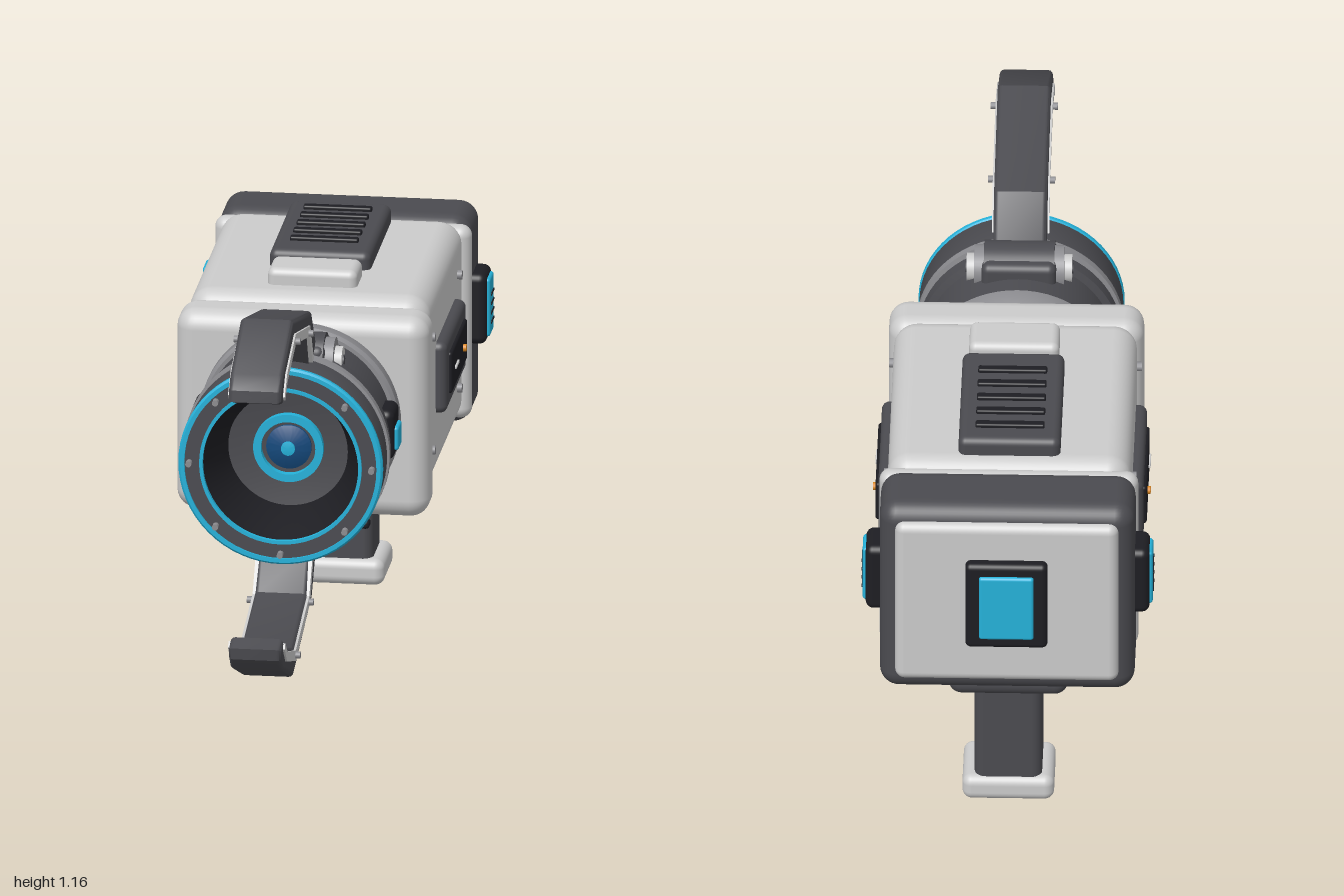
import * as THREE from 'three';
import { toCreasedNormals } from 'three/addons/utils/BufferGeometryUtils.js';
import { RoundedBoxGeometry } from 'three/addons/geometries/RoundedBoxGeometry.js';

const mat = (color) => new THREE.MeshStandardMaterial({ color });
const LIGHT = mat(0xcccccc), GREY = mat(0x8c8c90), DARK = mat(0x4b4b50), BLACK = mat(0x1e1e23);
const CYAN = mat(0x25b2da), BLUE = mat(0x14497c), ORANGE = mat(0xe08a20);
const AXIS = 0.68; // height of the lens axis

function add(parent, name, geometry, material) {
  const mesh = new THREE.Mesh(geometry, material);
  mesh.name = name;
  parent.add(mesh);
  return mesh;
}

// Rounded box given by its extents on each axis
function block(parent, name, material, [x0, x1], [y0, y1], [z0, z1], r = 0.02) {
  const s = [x1 - x0, y1 - y0, z1 - z0];
  const mesh = add(parent, name, new RoundedBoxGeometry(...s, 4, Math.min(r, Math.min(...s) * 0.49)), material);
  mesh.position.set((x0 + x1) / 2, (y0 + y1) / 2, (z0 + z1) / 2);
  return mesh;
}

// Solid of revolution round the lens axis; points are [radius, z]
function turned(parent, name, material, points) {
  const g = new THREE.LatheGeometry(points.map(([r, z]) => new THREE.Vector2(r, z)), 64);
  g.rotateX(Math.PI / 2);
  const mesh = add(parent, name, toCreasedNormals(g, 0.5), material);
  mesh.position.y = AXIS;
  return mesh;
}

// Cylinder lying along x or z
function pin(parent, name, material, r, length, [x, y, z], axis = 'x') {
  const g = new THREE.CylinderGeometry(r, r, length, r > 0.03 ? 40 : 12);
  if (axis === 'x') g.rotateZ(Math.PI / 2);
  else g.rotateX(Math.PI / 2);
  const mesh = add(parent, name, g, material);
  mesh.position.set(x, y, z);
  return mesh;
}

// Side profile in (z, y) extruded symmetrically across x
function sideProfile(parent, name, material, points, halfWidth, bevel) {
  const shape = new THREE.Shape(points.map(([z, y]) => new THREE.Vector2(z, y)));
  const depth = 2 * (halfWidth - bevel);
  const g = new THREE.ExtrudeGeometry(shape, {
    depth, bevelEnabled: bevel > 0, bevelSize: bevel, bevelOffset: -bevel, bevelThickness: bevel, bevelSegments: 3,
  });
  g.translate(0, 0, -depth / 2);
  g.rotateY(-Math.PI / 2);
  return add(parent, name, toCreasedNormals(g, 0.6), material);
}

function buildBody(root) {
  const body = new THREE.Group();
  body.name = 'body';
  root.add(body);
  block(body, 'mainHousing', LIGHT, [-0.31, 0.31], [0.435, 0.965], [-0.74, -0.03], 0.06);
  block(body, 'undersidePlate', DARK, [-0.285, 0.285], [0.425, 0.5], [-0.73, -0.04], 0.03);
  block(body, 'frontCollar', LIGHT, [-0.325, 0.325], [0.415, 0.95], [-0.055, 0.09], 0.05);
  block(body, 'rearCollar', LIGHT, [-0.33, 0.33], [0.43, 0.945], [-0.765, -0.705], 0.03);
  block(body, 'rearCap', DARK, [-0.325, 0.325], [0.405, 0.958], [-0.94, -0.735], 0.05);
  block(body, 'rearPanel', LIGHT, [-0.285, 0.285], [0.45, 0.92], [-0.96, -0.9], 0.025);
  block(body, 'rearScreenFrame', BLACK, [-0.105, 0.105], [0.57, 0.82], [-0.99, -0.95], 0.015);
  block(body, 'rearScreen', CYAN, [-0.07, 0.07], [0.602, 0.788], [-1, -0.97], 0.008);

  // Vent and button on top
  block(body, 'ventBase', DARK, [-0.13, 0.13], [0.94, 1.01], [-0.69, -0.265], 0.02);
  for (let i = 0; i < 5; i++) {
    const z = -0.62 + i * 0.065;
    block(body, 'ventSlat', BLACK, [-0.088, 0.088], [1, 1.02], [z - 0.012, z + 0.012], 0.005);
  }
  block(body, 'topButton', LIGHT, [-0.115, 0.115], [0.94, 1.008], [-0.237, -0.115], 0.02);

  // Side fittings, built for the left and turned or mirrored for the right
  for (const s of [1, -1]) {
    const X = (a, b) => (s > 0 ? [a, b] : [-b, -a]);
    block(body, 'sidePanel', DARK, X(0.29, 0.338), [0.615, 0.805], [-0.567, -0.178], 0.02);
    block(body, 'sideDisplay', BLACK, X(0.32, 0.346), [0.655, 0.766], [-0.522, -0.228], 0.008);
    block(body, 'displayBar', LIGHT, X(0.34, 0.351), [0.706, 0.714], [-0.337, -0.278], 0.002);
    pin(body, 'indicatorLamp', ORANGE, 0.01, 0.012, [s * 0.348, 0.71, -0.445]);
    for (const z of [-0.085, -0.605]) {
      for (const y of [0.55, 0.853]) pin(body, 'bodyScrew', GREY, 0.012, 0.03, [s * 0.307, y, z]);
    }
    block(body, 'rearLampFrame', BLACK, X(0.3, 0.362), [0.612, 0.8], [-0.882, -0.768], 0.02);
    block(body, 'rearLamp', CYAN, X(0.34, 0.37), [0.63, 0.785], [-0.861, -0.785], 0.008);
    for (const y of [0.665, 0.69, 0.715, 0.74]) {
      block(body, 'lampSlot', BLACK, X(0.36, 0.3725), [y - 0.003, y + 0.003], [-0.85, -0.797], 0.001);
    }
  }
}

function buildLens(root) {
  const lens = new THREE.Group();
  lens.name = 'lens';
  root.add(lens);
  turned(lens, 'mountRing', GREY, [[0, 0.08], [0.25, 0.08], [0.258, 0.1], [0.258, 0.135], [0.25, 0.145], [0.2, 0.145]]);
  turned(lens, 'barrel', DARK, [[0.24, 0.1], [0.24, 0.3], [0.258, 0.305], [0.26, 0.34], [0.24, 0.35], [0.24, 0.39]]);
  turned(lens, 'trimRing', GREY, [[0.24, 0.353], [0.265, 0.357], [0.265, 0.38], [0.24, 0.384]]);
  turned(lens, 'frontRing', DARK, [[0.24, 0.385], [0.26, 0.39], [0.26, 0.485], [0.255, 0.495], [0.2, 0.495]]);
  turned(lens, 'outerGlowRing', CYAN, [[0.26, 0.482], [0.263, 0.486], [0.263, 0.496], [0.258, 0.501], [0.247, 0.501], [0.247, 0.49]]);
  turned(lens, 'innerGlowRing', CYAN, [[0.209, 0.49], [0.209, 0.501], [0.2, 0.501], [0.2, 0.485]]);
  turned(lens, 'innerCone', BLACK, [[0.202, 0.496], [0.195, 0.47], [0.155, 0.36], [0.155, 0.32]]);
  turned(lens, 'lensPlate', DARK, [[0.157, 0.34], [0.09, 0.33], [0, 0.33]]);
  turned(lens, 'irisRing', CYAN, [[0.09, 0.325], [0.09, 0.35], [0.07, 0.35], [0.07, 0.325]]);
  turned(lens, 'pupil', BLUE, [[0.058, 0.325], [0.058, 0.337], [0.04, 0.345], [0, 0.35]]);
  turned(lens, 'pupilCore', CYAN, [[0.018, 0.34], [0.018, 0.355], [0, 0.358]]);
  for (let i = 0; i < 8; i++) {
    const a = (i * Math.PI) / 4;
    pin(lens, 'ringScrew', GREY, 0.008, 0.03, [0.235 * Math.cos(a), AXIS + 0.235 * Math.sin(a), 0.5], 'z');
  }
  for (const s of [1, -1]) {
    const X = (a, b) => (s > 0 ? [a, b] : [-b, -a]);
    block(lens, 'lensButtonFrame', BLACK, X(0.2, 0.26), [0.627, 0.76], [0.15, 0.262], 0.02);
    block(lens, 'lensButton', CYAN, X(0.24, 0.27), [0.65, 0.713], [0.173, 0.243], 0.008);
  }
}

// Gripping arm; heights are measured from the lens axis
function buildArm(root, turn) {
  const arm = new THREE.Group();
  arm.name = turn ? 'lowerArm' : 'upperArm';
  arm.position.y = AXIS;
  arm.rotation.z = turn;
  root.add(arm);
  block(arm, 'hingeBlock', DARK, [-0.095, 0.095], [0.19, 0.275], [0.215, 0.36], 0.02);
  pin(arm, 'hingeBarrel', DARK, 0.07, 0.18, [0, 0.225, 0.295]);
  for (const s of [1, -1]) {
    pin(arm, 'hingeDisc', GREY, 0.058, 0.03, [s * 0.1, 0.225, 0.295]);
    pin(arm, 'hingeCap', LIGHT, 0.036, 0.045, [s * 0.112, 0.225, 0.295]);
    pin(arm, 'hingeBolt', DARK, 0.014, 0.05, [s * 0.113, 0.225, 0.295]);
    for (const [z, y] of [[0.755, 0.42], [0.5, 0.36]]) {
      pin(arm, 'armScrew', GREY, 0.009, 0.025, [s * 0.073, y, z]);
    }
  }
  sideProfile(arm, 'claw', DARK, [
    [0.3, 0.25], [0.42, 0.25], [0.49, 0.342], [0.75, 0.402], [0.9, 0.358], [0.955, 0.314],
    [1, 0.33], [0.997, 0.36], [0.965, 0.395], [0.76, 0.478], [0.4, 0.387], [0.31, 0.275],
  ], 0.068, 0.012);
  sideProfile(arm, 'clawTrim', LIGHT, [
    [0.4, 0.262], [0.422, 0.256], [0.488, 0.348], [0.75, 0.41], [0.91, 0.362], [0.955, 0.325],
    [0.968, 0.338], [0.92, 0.385], [0.75, 0.438], [0.468, 0.37],
  ], 0.073, 0);
}

function buildHandle(root) {
  const handle = new THREE.Group();
  handle.name = 'handle';
  root.add(handle);
  block(handle, 'handleMount', DARK, [-0.153, 0.153], [0.318, 0.43], [-0.828, -0.623], 0.035);
  block(handle, 'grip', DARK, [-0.086, 0.086], [0.04, 0.36], [-0.806, -0.643], 0.025);
  block(handle, 'handleFoot', LIGHT, [-0.117, 0.117], [0, 0.07], [-0.82, -0.625], 0.025);
  for (const y of [0.165, 0.228, 0.292]) {
    block(handle, 'gripRib', BLACK, [-0.08, 0.08], [y - 0.012, y + 0.012], [-0.67, -0.624], 0.01);
  }
}

export function createModel() {
  const root = new THREE.Group();
  root.name = 'grabberDevice';
  buildBody(root);
  buildLens(root);
  buildArm(root, 0);
  buildArm(root, Math.PI);
  buildHandle(root);
  return root;
}
